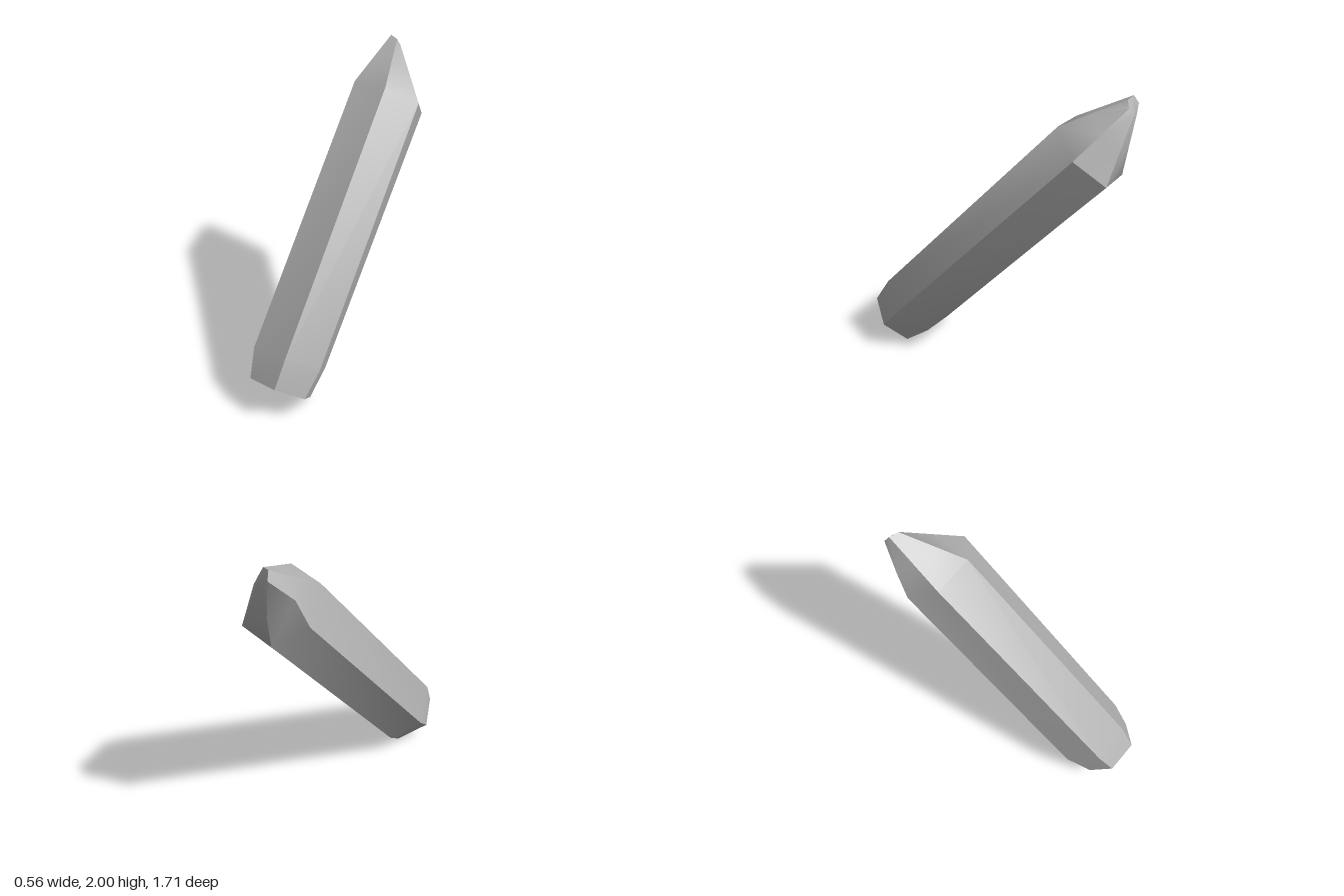
import * as THREE from 'three';
import { toCreasedNormals } from 'three/addons/utils/BufferGeometryUtils.js';

// Hexagonal cross-sections from base to tip, corners clockwise as seen from the front
const BASE = [[-0.19, 0.245, 0.81], [0.02, 0.275, 0.855], [0.17, 0.175, 0.745], [0.12, 0.045, 0.595], [-0.085, 0, 0.54], [-0.245, 0.115, 0.67]];
const LOWER = [[-0.215, 0.42, 0.71], [0.04, 0.455, 0.75], [0.21, 0.33, 0.625], [0.14, 0.175, 0.43], [-0.115, 0.13, 0.375], [-0.285, 0.26, 0.5]];
const UPPER = [[-0.14, 1.79, -0.48], [0.105, 1.82, -0.425], [0.28, 1.695, -0.557], [0.223, 1.53, -0.75], [-0.025, 1.5, -0.8], [-0.2, 1.62, -0.67]];
const TIP = [[-0.055, 2, -0.825], [0, 1.99, -0.8], [0.02, 1.945, -0.815], [0.01, 1.91, -0.845], [-0.03, 1.9, -0.855], [-0.07, 1.95, -0.855]];
// Halfway up the point, with one corner bulging out
const MIDDLE = UPPER.map((p, i) => p.map((v, k) => (v + TIP[i][k]) / 2));
MIDDLE[5] = [-0.16, 1.81, -0.74];

function loft(rings) {
  const points = [];
  const add = (...corners) => corners.forEach((c) => points.push(...c));
  // Sides
  for (let r = 0; r < rings.length - 1; r++) {
    const a = rings[r], b = rings[r + 1];
    for (let i = 0; i < 6; i++) {
      const j = (i + 1) % 6;
      add(a[i], a[j], b[j], a[i], b[j], b[i]);
    }
  }
  // Flat ends
  const first = rings[0], last = rings[rings.length - 1];
  for (let i = 1; i < 5; i++) {
    add(first[0], first[i + 1], first[i]);
    add(last[0], last[i], last[i + 1]);
  }
  const geometry = new THREE.BufferGeometry();
  geometry.setAttribute('position', new THREE.Float32BufferAttribute(points, 3));
  return toCreasedNormals(geometry, 0.6);
}

export function createModel() {
  const group = new THREE.Group();
  group.name = 'crystal';
  const stone = new THREE.MeshStandardMaterial({ color: 0xb4b4b4 });
  stone.name = 'grey stone';

  // Leaning hexagonal shard with a narrowed base and a pointed top
  const shard = new THREE.Mesh(loft([BASE, LOWER, UPPER, MIDDLE, TIP]), stone);
  shard.name = 'crystalShard';
  group.add(shard);
  return group;
}
